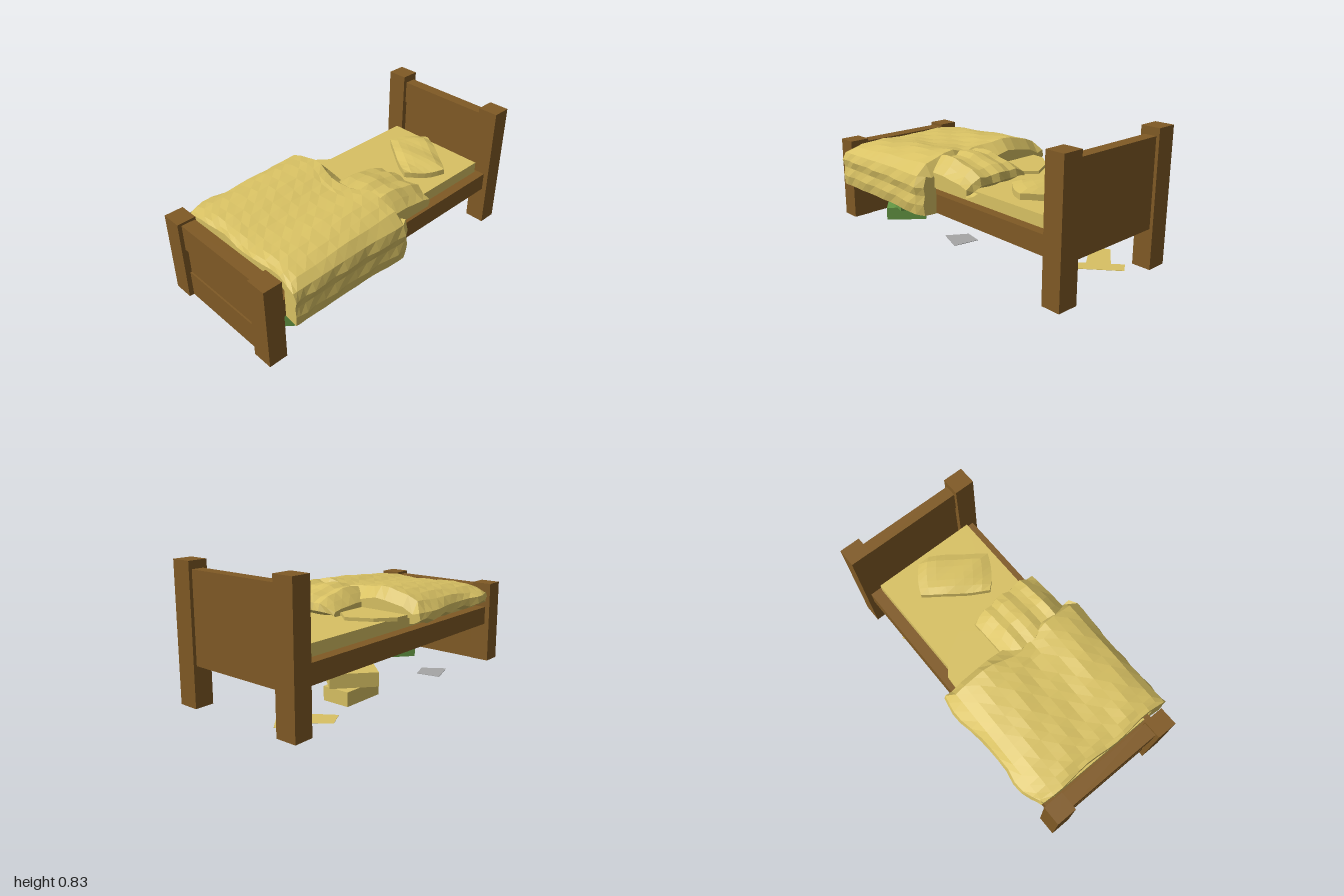
import * as THREE from 'three';

const wood = new THREE.MeshStandardMaterial({ color: 0x805a25 });
wood.name = 'brown wood';
const cloth = new THREE.MeshStandardMaterial({ color: 0xd8c163, side: THREE.DoubleSide });
cloth.name = 'yellow cloth';
const green = new THREE.MeshStandardMaterial({ color: 0x669a45 });
green.name = 'green card';
const grey = new THREE.MeshStandardMaterial({ color: 0xa6a6a6, side: THREE.DoubleSide });
grey.name = 'grey paper';

export function createModel() {
  const model = new THREE.Group();
  model.name = 'bed';

  const add = (name, geometry, material) => {
    const mesh = new THREE.Mesh(geometry, material);
    mesh.name = name;
    model.add(mesh);
    return mesh;
  };
  // Box given by its limits on each axis
  const box = (name, material, x0, x1, y0, y1, z0, z1) =>
    add(name, new THREE.BoxGeometry(x1 - x0, y1 - y0, z1 - z0), material)
      .position.set((x0 + x1) / 2, (y0 + y1) / 2, (z0 + z1) / 2);
  const faceted = (geometry) => {
    const flat = geometry.index ? geometry.toNonIndexed() : geometry;
    flat.computeVertexNormals();
    return flat;
  };
  // Closed skin through rings; each ring is an outer run followed by its reversed inner run
  const loft = (rings) => {
    const n = rings[0].length, index = [];
    const quad = (a, b, c, d) => index.push(a, b, c, a, c, d);
    for (let r = 0; r < rings.length - 1; r++) {
      for (let i = 0; i < n; i++) {
        const j = (i + 1) % n;
        quad(r * n + i, (r + 1) * n + i, (r + 1) * n + j, r * n + j);
      }
    }
    const last = (rings.length - 1) * n;
    for (let i = 0; i < n / 2 - 1; i++) {
      quad(i, i + 1, n - 2 - i, n - 1 - i);
      quad(last + n - 1 - i, last + n - 2 - i, last + i + 1, last + i);
    }
    const g = new THREE.BufferGeometry();
    g.setAttribute('position', new THREE.Float32BufferAttribute(rings.flat(2), 3));
    g.setIndex(index);
    return faceted(g);
  };
  const bump = (x, centre, width) => Math.exp(-(((x - centre) / width) ** 2));
  const clamp = THREE.MathUtils.clamp;

  // Posts
  for (const [side, x] of [['right', -0.472], ['left', 0.3]]) {
    box(side + 'FootPost', wood, x, x + 0.132, 0.005, 0.542, 0.88, 1);
    box(side + 'HeadPost', wood, x, x + 0.132, 0.005, 0.835, -1, -0.88);
  }
  // Planked end boards
  box('footTopPlank', wood, -0.34, 0.3, 0.352, 0.525, 0.885, 0.975);
  box('footMiddlePlank', wood, -0.34, 0.3, 0.178, 0.352, 0.885, 0.96);
  box('footBottomPlank', wood, -0.34, 0.3, 0.005, 0.178, 0.885, 0.97);
  box('headTopPlank', wood, -0.34, 0.3, 0.638, 0.788, -0.98, -0.905);
  box('headLowerPlank', wood, -0.34, 0.3, 0.25, 0.638, -0.98, -0.915);
  // Base and mattress
  box('bedBase', wood, -0.44, 0.4, 0.262, 0.38, -0.885, 0.885);
  box('mattress', cloth, -0.368, 0.338, 0.38, 0.452, -0.858, 0.86);

  // Pillow: a box pinched toward its rim
  const pillowGeometry = new THREE.BoxGeometry(0.47, 0.08, 0.28, 8, 2, 6);
  const p = pillowGeometry.attributes.position;
  for (let i = 0; i < p.count; i++) {
    const u = p.getX(i) / 0.235, v = p.getZ(i) / 0.14;
    const rim = Math.max(u ** 4, v ** 4);
    p.setX(i, p.getX(i) * (1 - 0.07 * v * v));
    p.setZ(i, p.getZ(i) * (1 - 0.07 * u * u));
    p.setY(i, p.getY(i) * (1 - 0.55 * rim) + 0.005 * Math.sin(u * 5 + v * 3));
  }
  const pillow = add('pillow', faceted(pillowGeometry), cloth);
  pillow.position.set(0.04, 0.482, -0.6);
  pillow.rotation.y = -0.62;

  // Main blanket: sections across the bed, short hem on one side and long drape on the other
  const rows = [0, 0.05, 0.11, 0.18, 0.26, 0.34, 0.42, 0.5, 0.58, 0.66, 0.73, 0.79, 0.83, 0.855];
  const blanketRings = rows.map((z, r) => {
    const t = z / 0.855;
    const wave = 0.012 * Math.sin(r * 2.1);
    const flare = -0.035 * bump(z, 0.14, 0.14) - 0.025 * bump(z, 0.69, 0.06) + 0.03 * bump(z, 0.86, 0.06);
    const outer = [[-0.45 + flare, 0.425 + wave], [-0.495 + flare, 0.45 + wave], [-0.485 + flare, 0.492]];
    for (let i = 0; i <= 13; i++) {
      const x = -0.45 + (i / 13) * 0.89;
      const humps = (0.035 * bump(x, -0.2, 0.16) + 0.035 * bump(x, 0.26, 0.11)) * (1 - 0.75 * t);
      const edge = 0.035 * bump(x, -0.47, 0.07) + 0.02 * bump(x, 0.46, 0.06);
      const ends = (r === 0 ? 0.07 : 0) + 0.015 * bump(z, 0.86, 0.04);
      outer.push([x, 0.578 - 0.045 * t ** 1.6 + humps - edge - ends + 0.004 * Math.sin(i * 1.9 + r * 1.3)]);
    }
    const swell = 0.018 * bump(z, 0.08, 0.15) - (r === 0 ? 0.025 : 0);
    outer.push([0.492 + swell, 0.505 - 0.02 * t], [0.512 + swell + wave * 0.5, 0.44], [0.503 + swell, 0.39],
      [0.515 + swell - wave * 0.5, 0.335], [0.505 + swell, 0.268 + 0.3 * Math.abs(wave)]);
    const inner = outer.map(([x, y]) => [clamp(x, -0.43, 0.408), Math.min(y - 0.004, 0.456)]).reverse();
    return [...outer, ...inner].map(([x, y]) => [x, y, z + (r < 3 ? 0.05 * bump(x, 0, 0.14) * (r > 0) : 0)
      + (r > 11 ? 0.008 * Math.sin(x * 14) : 0)]);
  });
  add('blanket', loft(blanketRings), cloth);

  // Turned-back part of the blanket
  const foldProfile = [[-0.25, 0.452], [-0.295, 0.485], [-0.285, 0.535], [-0.22, 0.57], [-0.15, 0.583],
    [-0.08, 0.605], [0, 0.608], [0.08, 0.595]];
  const foldRings = [];
  for (let i = 0; i <= 10; i++) {
    const x = -0.07 + i * 0.049;
    const size = i === 0 ? 0.35 : i === 1 ? 0.65 : i === 10 ? 0.55 : i === 9 ? 0.85 : 0.92 + 0.08 * Math.sin(i * 1.7);
    const drop = i > 8 ? 0.02 : 0;
    const outer = foldProfile.map(([z, y], k) => [x, 0.452 + (y - 0.452) * size - drop,
      z + 0.03 * bump(x, -0.07, 0.1) + 0.008 * Math.sin(i * 2 + k)]);
    const inner = outer.map(([a, , c]) => [a, 0.448 - drop, c + 0.01]).reverse();
    foldRings.push([...outer, ...inner]);
  }
  add('blanketFold', loft(foldRings), cloth);

  // Outline laid flat, thickened upward from y
  const sheet = (name, material, points, y, depth) => {
    const shape = new THREE.Shape(points.map(([x, z]) => new THREE.Vector2(x, -z)));
    const mesh = add(name, new THREE.ExtrudeGeometry(shape, { depth, bevelEnabled: false }), material);
    mesh.rotation.x = -Math.PI / 2;
    mesh.position.y = y;
  };
  sheet('blanketUnderlay', cloth, [[-0.42, 0.08], [-0.41, -0.09], [-0.32, -0.2], [-0.17, -0.28], [-0.08, -0.2],
    [0.02, -0.22], [0.02, 0.08]], 0.449, 0.024);

  // Stacked boxes under the bed
  const card = (name, material, x, z, length, layer, turn) => {
    const mesh = add(name, new THREE.BoxGeometry(length, 0.086, 0.18), material);
    mesh.position.set(x, 0.046 + 0.086 * layer, z);
    mesh.rotation.y = turn;
  };
  card('lowerGreenBox', green, 0.14, 0.675, 0.266, 0, -0.69);
  card('upperGreenBox', green, 0.14, 0.67, 0.266, 1, 1.26);
  card('lowerYellowBox', cloth, -0.23, -0.288, 0.285, 0, Math.PI / 2);
  card('upperYellowBox', cloth, -0.23, -0.285, 0.285, 1, 0.854);

  // Loose papers on the floor
  sheet('yellowPaperA', cloth, [[-0.02, -0.67], [-0.225, -0.91], [-0.3, -0.86], [-0.07, -0.6]], 0.003, 0.002);
  sheet('yellowPaperB', cloth, [[-0.15, -0.69], [-0.36, -0.55], [-0.42, -0.66], [-0.22, -0.82]], 0, 0.002);
  sheet('greyPaperA', grey, [[0.185, 0.2], [0.25, 0.03], [0.08, 0], [0.055, 0.12]], 0, 0.003);
  sheet('greyPaperB', grey, [[-0.215, 0.46], [-0.26, 0.34], [-0.41, 0.37], [-0.35, 0.55]], 0, 0.003);

  return model;
}
